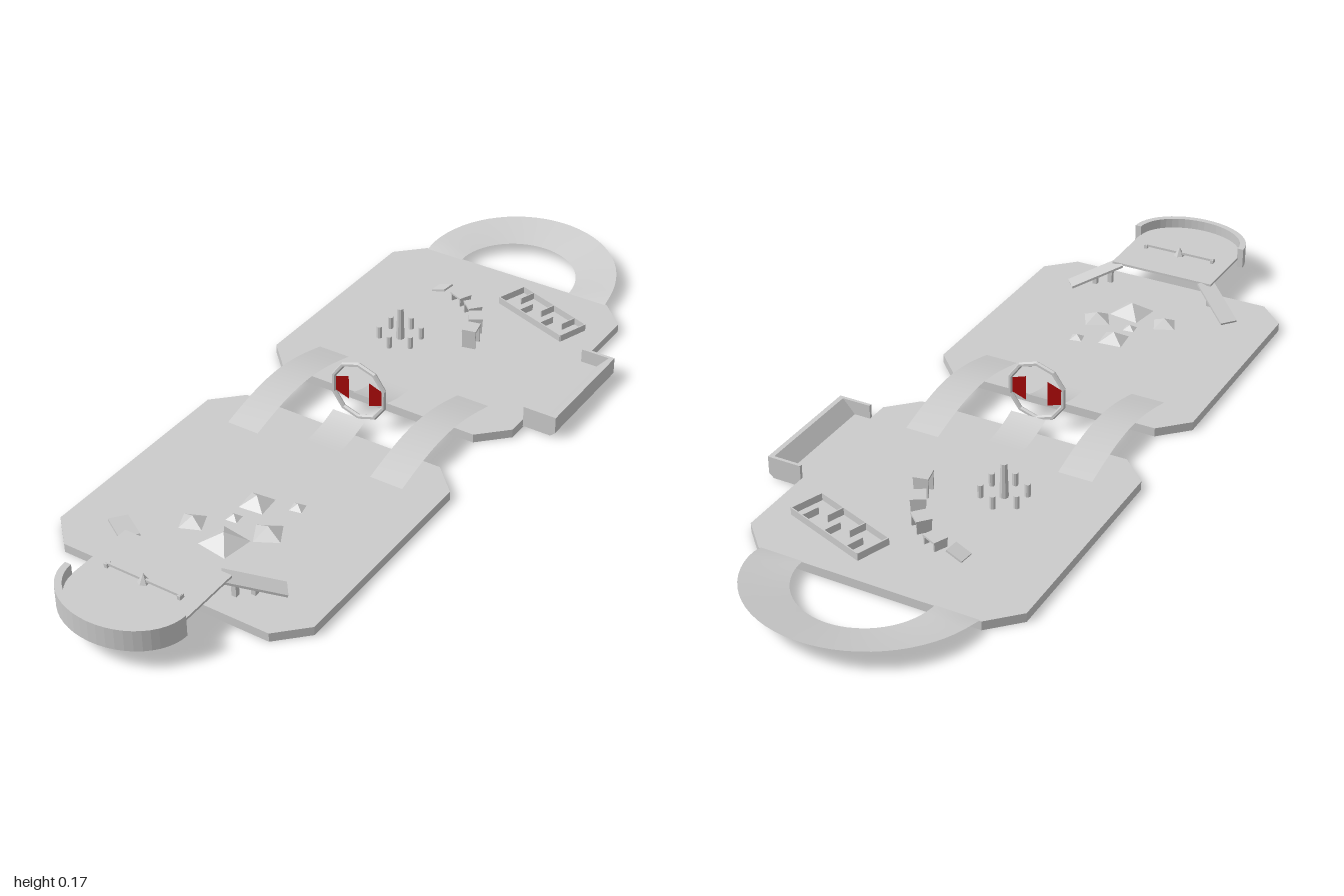
import * as THREE from 'three';

const CX = -0.043; // axis of symmetry of the main plates
const TOP = 0.022; // upper face of the plates
const grey = new THREE.MeshStandardMaterial({ color: 0xcccccc, flatShading: true });
const thin = new THREE.MeshStandardMaterial({ color: 0xcccccc, side: THREE.DoubleSide });
const red = new THREE.MeshStandardMaterial({ color: 0xa00808, side: THREE.DoubleSide });

export function createModel() {
  const model = new THREE.Group();

  function add(name, geometry, x = 0, y = 0, z = 0, material = grey, parent = model) {
    const mesh = new THREE.Mesh(geometry, material);
    mesh.name = name;
    mesh.position.set(x, y, z);
    parent.add(mesh);
    return mesh;
  }
  const box = (w, h, d) => new THREE.BoxGeometry(w, h, d);

  // Horizontal slab from an outline of [x, z] points
  function slab(points, height) {
    const shape = new THREE.Shape(points.map(([x, z]) => new THREE.Vector2(x, -z)));
    return new THREE.ExtrudeGeometry(shape, { depth: height, bevelEnabled: false }).rotateX(-Math.PI / 2);
  }

  // Curved sheet: rule(u, v) gives the position
  function sheet(nu, nv, rule) {
    const g = new THREE.PlaneGeometry(1, 1, nu, nv);
    const p = g.attributes.position;
    for (let i = 0; i < p.count; i++) p.setXYZ(i, ...rule(p.getX(i) + 0.5, p.getY(i) + 0.5));
    g.computeVertexNormals();
    return g;
  }

  // Half ellipse bulging towards +z
  function halfEllipse(rx, rz, z, n = 24) {
    return Array.from({ length: n + 1 }, (_, i) => {
      const a = (i / n) * Math.PI;
      return [CX + rx * Math.cos(a), z + rz * Math.sin(a)];
    });
  }

  // Two base plates with cut corners
  const w = 0.336, c = 0.067;
  for (const [name, z0, z1] of [['backPlate', -0.74, -0.063], ['frontPlate', 0.087, 0.76]]) {
    const outline = [
      [CX - w, z0 + c], [CX - w + c, z0], [CX + w - c, z0], [CX + w, z0 + c],
      [CX + w, z1 - c], [CX + w - c, z1], [CX - w + c, z1], [CX - w, z1 - c],
    ];
    add(name, slab(outline, TOP));
  }

  // Raised half ring at the back, dished towards the outside
  add('backLoop', sheet(32, 4, (u, v) => {
    const a = u * Math.PI, r = 0.16 + 0.105 * v;
    const rise = 0.007 + 0.027 * v;
    return [CX + r * Math.cos(a), TOP + rise * Math.pow(Math.sin(a) + 1e-9, 0.65), -0.737 - r * Math.sin(a)];
  }), 0, 0, 0, thin);

  // Arched bridges between the plates
  for (const s of [-1, 1]) {
    add('bridge', sheet(1, 16, (u, v) => [
      CX + s * 0.198 + (u - 0.5) * 0.085, 0.02 + 0.036 * Math.sin(v * Math.PI), 0.21 - 0.4 * v,
    ]), 0, 0, 0, thin);
  }

  // Curved ramps leading up to the ring
  for (const s of [-1, 1]) {
    add('ramp', sheet(1, 8, (u, v) => [
      CX + (u - 0.5) * 0.09, TOP + 0.022 * v * v, 0.01 + s * (0.15 - 0.108 * v),
    ]), 0, 0, 0, thin);
  }

  // Standing ring with two red panels
  const ring = new THREE.Group();
  ring.name = 'standingRing';
  ring.position.set(CX, 0.088, 0.01);
  model.add(ring);
  add('hoop', new THREE.TorusGeometry(0.073, 0.006, 6, 10).rotateZ(Math.PI / 2), 0, 0, 0, grey, ring);
  for (const s of [-1, 1]) {
    const panel = new THREE.Shape([
      [0.068, 0.018], [0.028, 0.032], [0.028, -0.032], [0.068, -0.018],
    ].map(([x, y]) => new THREE.Vector2(s * x, y)));
    add('redPanel', new THREE.ShapeGeometry(panel), 0, 0, 0, red, ring);
  }

  // Front platform with its curved parapet
  add('platform', slab([[CX + 0.14, 0.705], ...halfEllipse(0.142, 0.105, 0.88), [CX - 0.14, 0.705]], 0.006), 0, 0.073);
  add('parapet', slab([...halfEllipse(0.156, 0.12, 0.88), ...halfEllipse(0.14, 0.104, 0.88).reverse()], 0.053), 0, 0.052);

  // Sloping supports and the posts below them
  for (const s of [-1, 1]) {
    const from = new THREE.Vector3(CX + s * 0.225, 0.026, 0.63);
    const to = new THREE.Vector3(CX + s * 0.12, 0.075, 0.715);
    const mid = from.clone().lerp(to, 0.5);
    add('support', box(0.045, 0.006, from.distanceTo(to)), mid.x, mid.y, mid.z).lookAt(to);
    for (const t of [0.5, 0.8]) {
      const p = from.clone().lerp(to, t);
      const h = p.y - TOP;
      add('supportPost', box(0.012, h, 0.012), p.x, TOP + h / 2 - 0.002, p.z);
    }
  }

  // Crossbar on the platform
  add('crossbar', box(0.195, 0.006, 0.006), CX, 0.087, 0.82);
  add('crossbarHub', new THREE.ConeGeometry(0.014, 0.024, 6), CX, 0.091, 0.82);
  for (const s of [-1, 1]) add('crossbarEnd', box(0.008, 0.01, 0.014), CX + s * 0.095, 0.084, 0.82);

  // Pyramids on the front plate: x, z, half width, height, turn
  for (const [x, z, r, h, turn] of [
    [-0.045, 0.42, 0.03, 0.022, 0.1], [0.04, 0.385, 0.015, 0.011, 0.2], [-0.057, 0.49, 0.014, 0.011, 0.1],
    [0.038, 0.495, 0.03, 0.021, 0.5], [-0.125, 0.55, 0.026, 0.018, 0.4], [-0.025, 0.57, 0.04, 0.028, -0.15],
  ]) {
    const g = new THREE.ConeGeometry(r * Math.SQRT2, h, 4).rotateY(Math.PI / 4 + turn);
    add('pyramid', g, x, TOP + h / 2, z);
  }

  // Balcony on the left side of the back plate
  const profile = new THREE.Shape([
    [0.29, 0.003], [0.366, 0.003], [0.378, 0.014], [0.378, 0.057], [0.366, 0.057], [0.335, 0.022], [0.29, 0.022],
  ].map(([x, y]) => new THREE.Vector2(x, y)));
  add('sideBalcony', new THREE.ExtrudeGeometry(profile, { depth: 0.3, bevelEnabled: false }), 0, 0, -0.48);
  for (const z of [-0.476, -0.184]) add('balconyEnd', box(0.083, 0.045, 0.008), 0.3345, 0.0345, z);

  // Curved stair of small steps on legs
  [[-0.163, -0.57], [-0.098, -0.555], [-0.04, -0.515], [0.0, -0.46], [0.025, -0.395]].forEach(([x, z], i) => {
    const step = new THREE.Group();
    step.name = 'stairStep';
    step.position.set(x, TOP, z);
    step.rotation.y = [-0.1, -0.42, -0.72, -1.05, -1.35][i];
    model.add(step);
    const h = 0.012 + i * 0.009;
    const tread = add('tread', box(0.042, 0.005, 0.036), 0, h, 0, grey, step);
    if (i === 0) tread.rotation.z = 0.35;
    else for (const s of [-1, 1]) add('stepLeg', box(0.005, h, 0.034), s * 0.018, h / 2, 0, grey, step);
  });

  // Circle of posts around a tall one
  const circle = new THREE.Group();
  circle.name = 'postCircle';
  circle.position.set(-0.138, TOP, -0.325);
  model.add(circle);
  add('tallPost', new THREE.CylinderGeometry(0.008, 0.011, 0.086, 8), 0, 0.043, 0, grey, circle);
  for (let i = 0; i < 6; i++) {
    const a = Math.PI / 2 + (i * Math.PI) / 3;
    add('shortPost', new THREE.CylinderGeometry(0.007, 0.007, 0.032, 8), 0.052 * Math.cos(a), 0.016, 0.052 * Math.sin(a), grey, circle);
  }

  // Low maze of thin walls
  const maze = new THREE.Group();
  maze.name = 'maze';
  maze.position.set(0.112, TOP + 0.009, -0.602);
  maze.rotation.y = -0.34;
  model.add(maze);
  for (const s of [-1, 1]) {
    add('mazeWall', box(0.23, 0.018, 0.003), 0, 0, s * 0.042, grey, maze);
    add('mazeEnd', box(0.003, 0.018, 0.084), s * 0.115, 0, 0, grey, maze);
  }
  for (let i = 0; i < 5; i++) {
    add('mazeBaffle', box(0.003, 0.018, 0.045), -0.077 + i * 0.0385, 0, i % 2 ? 0.02 : -0.02, grey, maze);
  }

  return model;
}
